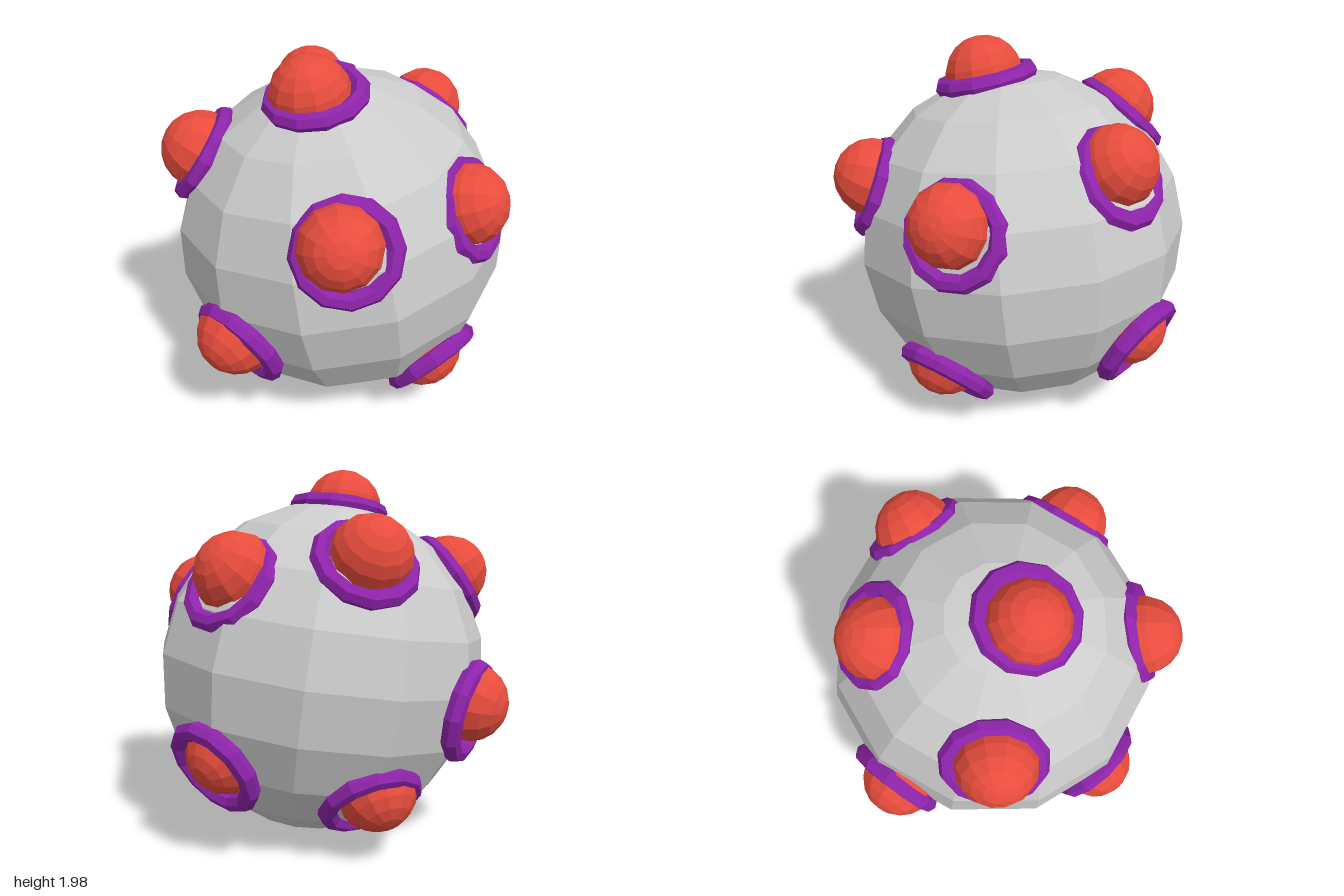
import * as THREE from 'three';

const CENTER = new THREE.Vector3(-0.02, 0.915, 0);

// Ring centres, measured from the centre of the body
const BUMPS = [
  [-0.18, 0.86, 0.11], [-0.275, 0.33, 0.74], [0.465, 0.335, 0.62],
  [0.29, -0.57, 0.62], [-0.725, -0.34, 0.37], [-0.58, -0.68, -0.03],
  [-0.45, -0.15, -0.75], [0.09, 0.63, -0.59], [0.63, 0.525, -0.2],
  [0.77, -0.385, -0.275], [0.08, -0.57, -0.645], [-0.69, 0.48, -0.25],
];

const flat = (color) => new THREE.MeshStandardMaterial({ color, flatShading: true });

export function createModel() {
  const model = new THREE.Group();
  model.name = 'studdedBall';
  const grey = flat(0xcccccc), purple = flat(0x8e24aa), red = flat(0xe74c3c);

  // Faceted body, slightly tilted
  const bodyGeo = new THREE.SphereGeometry(0.91, 12, 10);
  bodyGeo.rotateY(THREE.MathUtils.degToRad(-5));
  bodyGeo.rotateZ(0.16);
  const body = new THREE.Mesh(bodyGeo, grey);
  body.name = 'body';
  body.position.copy(CENTER);
  model.add(body);

  // Ring and dome share an outward axis (+z before orientation)
  const ringGeo = new THREE.TorusGeometry(0.231, 0.051, 7, 12);
  const domeGeo = new THREE.SphereGeometry(0.215, 12, 10).rotateX(Math.PI / 2);
  const domeShift = new THREE.Vector3(-0.035, 0.04, 0);
  const forward = new THREE.Vector3(0, 0, 1);

  BUMPS.forEach((p, i) => {
    const offset = new THREE.Vector3(...p);
    const dir = offset.clone().normalize();
    const turn = new THREE.Quaternion().setFromUnitVectors(forward, dir);

    const bump = new THREE.Group();
    bump.name = `bump${i + 1}`;

    const ring = new THREE.Mesh(ringGeo, purple);
    ring.name = 'ring';
    ring.position.copy(CENTER).add(offset);
    ring.quaternion.copy(turn);

    const dome = new THREE.Mesh(domeGeo, red);
    dome.name = 'dome';
    dome.position.copy(CENTER).add(domeShift).addScaledVector(dir, 0.85);
    dome.quaternion.copy(turn);

    bump.add(ring, dome);
    model.add(bump);
  });

  return model;
}
